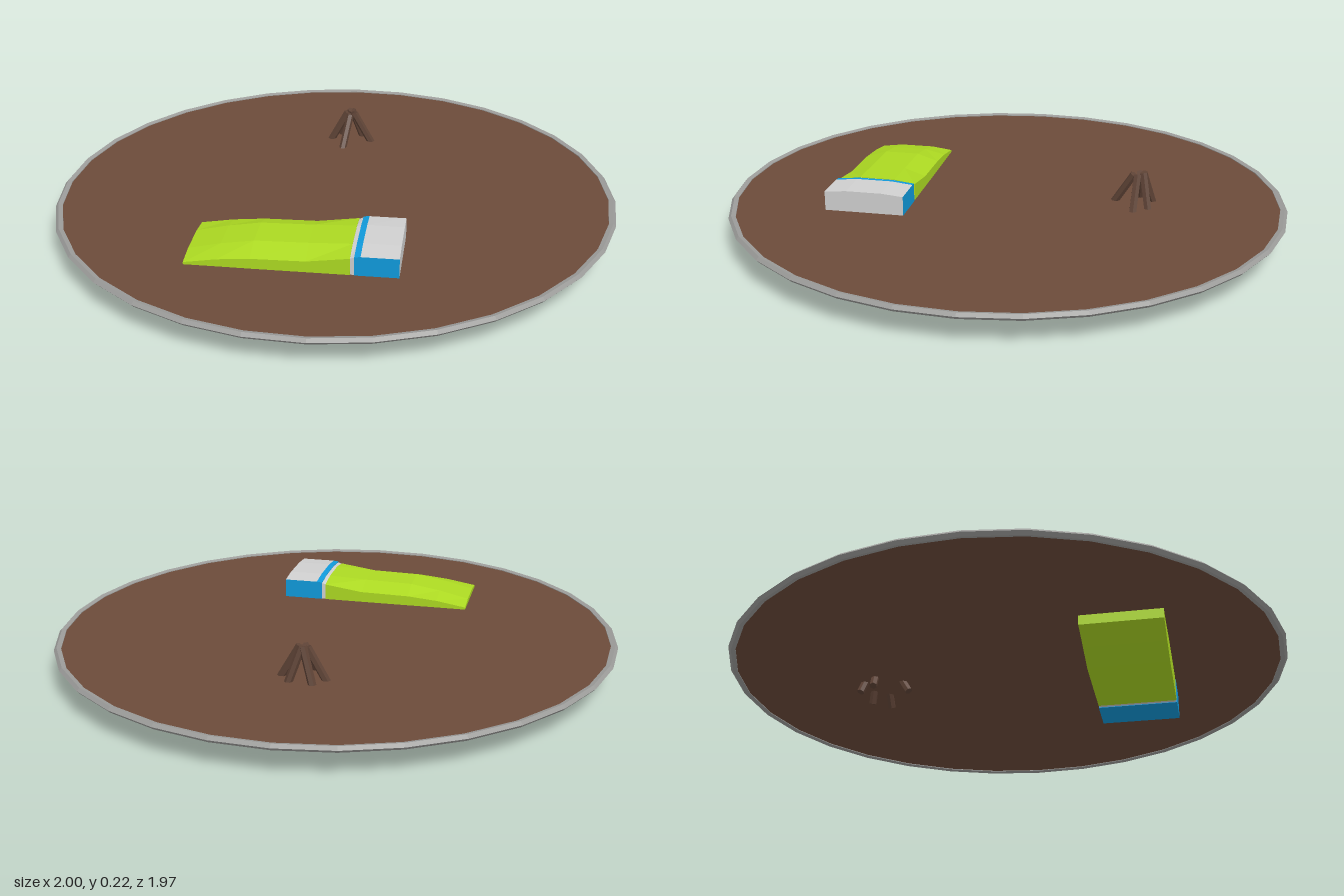
import * as THREE from 'three';

const mat = (name, color) => {
  const m = new THREE.MeshStandardMaterial({ color });
  m.name = name;
  m.flatShading = true;
  return m;
};

// Lofts six-sided sections [s, halfWidth, bottomY, edgeY, crownY] along x.
// sides picks which strips to build: 0 bottom, 1 and 5 sides, 2 to 4 top.
function loft(sections, sides, startCap, endCap) {
  const rings = sections.map(([s, h, b, e, c]) => [
    [s, b, -h], [s, b, h], [s, e, h], [s, c, h * 0.45], [s, c, -h * 0.45], [s, e, -h],
  ]);
  const pos = [];
  const tri = (...p) => p.forEach((v) => pos.push(...v));
  for (let k = 0; k < rings.length - 1; k++) {
    for (const i of sides) {
      const j = (i + 1) % 6;
      const a = rings[k][i], b = rings[k][j], c = rings[k + 1][j], d = rings[k + 1][i];
      tri(a, d, c);
      tri(a, c, b);
    }
  }
  const first = rings[0], last = rings[rings.length - 1];
  for (let i = 1; i < 5; i++) {
    if (startCap) tri(first[0], first[i], first[i + 1]);
    if (endCap) tri(last[0], last[i + 1], last[i]);
  }
  const g = new THREE.BufferGeometry();
  g.setAttribute('position', new THREE.Float32BufferAttribute(pos, 3));
  g.computeVertexNormals();
  return g;
}

export function createModel() {
  const model = new THREE.Group();
  const brown = mat('earthBrown', 0x6c4b3a);
  const stone = mat('stoneGrey', 0x9c9c9a);
  const wood = mat('woodBrown', 0x5e4336);
  const green = mat('bagGreen', 0xacd922);
  const blue = mat('liningBlue', 0x109adb);
  const pale = mat('pillowGrey', 0xcfcfcf);
  const add = (parent, name, geometry, material) => {
    const m = new THREE.Mesh(geometry, material);
    m.name = name;
    parent.add(m);
    return m;
  };

  // Round ground with a faceted rim
  const ground = add(model, 'ground', new THREE.CylinderGeometry(0.98, 0.98, 0.008, 32), brown);
  ground.position.y = 0.1;
  ground.scale.z = 0.985;
  const rim = add(model, 'groundRim', new THREE.TorusGeometry(0.986, 0.014, 5, 32).rotateX(Math.PI / 2), stone);
  rim.position.y = 0.1;
  rim.scale.set(1, 0.8, 0.987);

  // Sleeping bag, foot at the origin and head along local x
  const bag = new THREE.Group();
  bag.name = 'sleepingBag';
  bag.position.set(-0.61, 0, 0.115);
  bag.rotation.y = -0.632;
  model.add(bag);
  const all = [0, 1, 2, 3, 4, 5];
  add(bag, 'bagBody', loft([
    [0, 0.139, 0.062, 0.112, 0.122],
    [0.11, 0.139, 0.034, 0.13, 0.147],
    [0.22, 0.14, 0.008, 0.14, 0.165],
    [0.4, 0.14, 0.006, 0.143, 0.169],
    [0.542, 0.14, 0.006, 0.163, 0.175],
  ], all, true, true), green);
  add(bag, 'bagTrim', loft([
    [0.542, 0.137, 0.008, 0.162, 0.173],
    [0.558, 0.138, 0.006, 0.168, 0.176],
  ], all, false, false), pale);

  // Open head end: blue sides and base, blue stripe, pale pillow
  const head = [
    [0.556, 0.141, 0.004, 0.17, 0.178],
    [0.576, 0.141, 0.003, 0.172, 0.18],
    [0.7, 0.141, 0.002, 0.172, 0.179],
  ];
  add(bag, 'headSides', loft(head, [0, 1, 5], false, false), blue);
  add(bag, 'headStripe', loft(head.slice(0, 2), [2, 3, 4], true, false), blue);
  add(bag, 'pillow', loft(head.slice(1), [2, 3, 4], false, true), pale);

  // Leaning campfire sticks: [bottom x, z, top x, y, z]
  const fire = new THREE.Group();
  fire.name = 'campfireSticks';
  model.add(fire);
  const up = new THREE.Vector3(0, 1, 0);
  for (const [bx, bz, tx, ty, tz] of [
    [0.185, -0.308, 0.265, 0.212, -0.368],
    [0.355, -0.308, 0.285, 0.215, -0.37],
    [0.352, -0.385, 0.288, 0.22, -0.392],
    [0.268, -0.462, 0.285, 0.22, -0.395],
    [0.195, -0.44, 0.268, 0.215, -0.392],
  ]) {
    const a = new THREE.Vector3(bx, 0.055, bz);
    const d = new THREE.Vector3(tx, ty, tz).sub(a);
    const stick = add(fire, 'stick', new THREE.CylinderGeometry(0.014, 0.014, d.length(), 6), wood);
    stick.position.copy(a).addScaledVector(d, 0.5);
    stick.quaternion.setFromUnitVectors(up, d.normalize());
  }
  return model;
}
